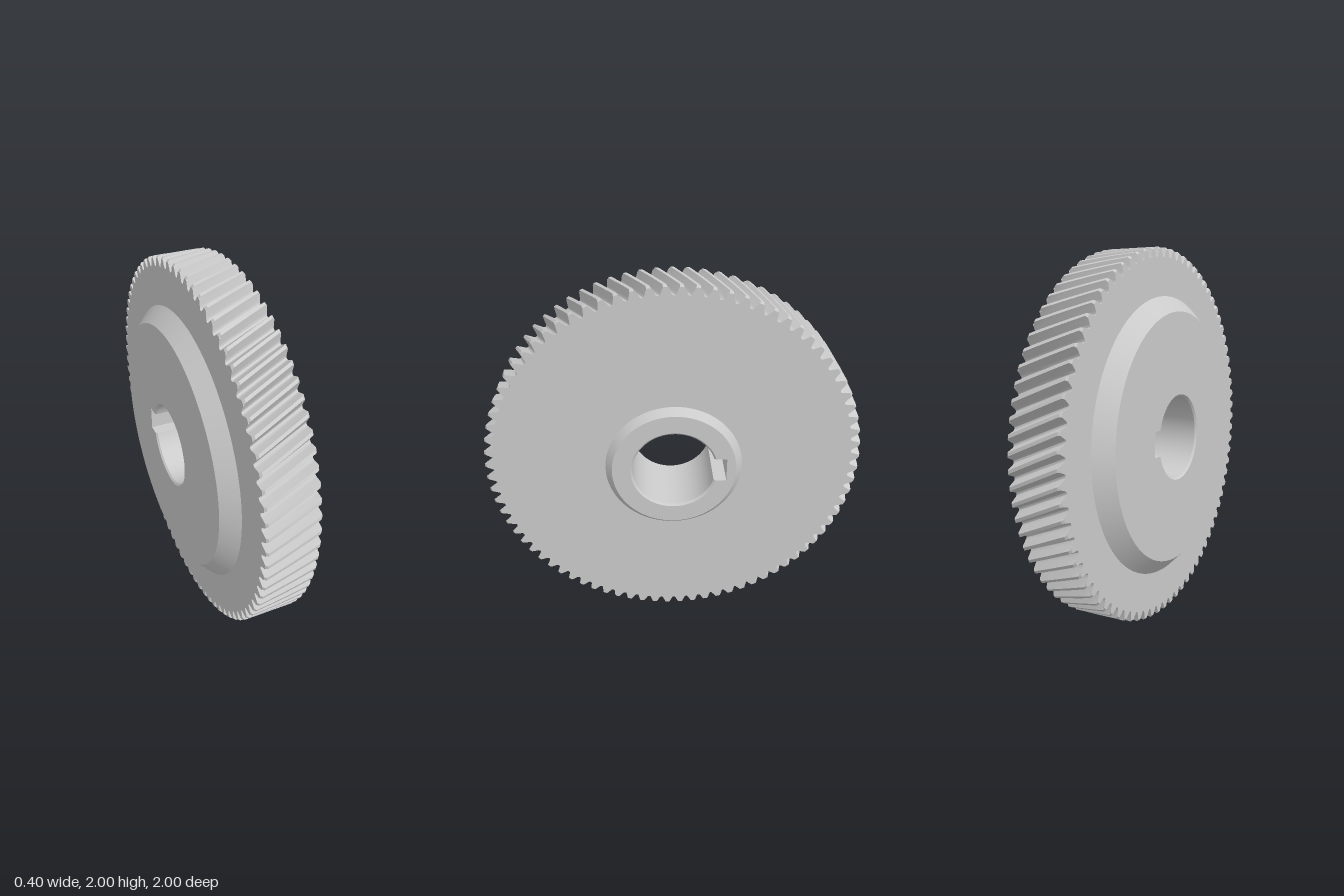
import * as THREE from 'three';
import { toCreasedNormals } from 'three/addons/utils/BufferGeometryUtils.js';

const TEETH = 80, PITCH = (Math.PI * 2) / TEETH;
const BACK = -0.12, FRONT = 0.16;         // toothed rim, along the axle
const HUB_BACK = -0.2, HUB_FRONT = 0.2;   // hub end faces
const TWIST = 0.12;                       // helix turn across the rim
const KEY_HALF = 0.067, KEY_DEPTH = 0.28;

// one gap between teeth: [fraction of pitch from gap centre, radius]
const HALF_GAP = [[0.07, 0.95], [0.13, 0.954], [0.19, 0.964], [0.26, 0.976], [0.33, 0.988], [0.39, 1]];
const GAP = [...HALF_GAP.map(([f, r]) => [-f, r]).reverse(), [0, 0.949], ...HALF_GAP];

const polar = (r, a) => new THREE.Vector2(r * Math.cos(a), r * Math.sin(a));
const circle = (r, n = 128) => Array.from({ length: n }, (_, i) => polar(r, (i / n) * Math.PI * 2));

// toothed outline at a place along the axle, tips cut off at maxR
function gearOutline(z, maxR) {
  const turn = Math.PI / 2 + TWIST * (FRONT - z) / (FRONT - BACK);
  const points = [];
  for (let t = 0; t < TEETH; t++) {
    for (const [f, r] of GAP) points.push(polar(Math.min(r, maxR), turn + (t + f) * PITCH));
  }
  return points;
}

// round bore with a square keyway
function boreOutline(r, n = 96) {
  const start = Math.asin(KEY_HALF / r), sweep = Math.PI * 2 - start * 2;
  const points = [new THREE.Vector2(KEY_DEPTH, -KEY_HALF), new THREE.Vector2(KEY_DEPTH, KEY_HALF)];
  for (let i = 0; i <= n; i++) points.push(polar(r, start + (sweep * i) / n));
  return points;
}

// skin over closed outlines, each given as [z, points]
function loft(rings, crease = 0.5) {
  const n = rings[0][1].length, position = [], index = [];
  for (const [z, points] of rings) for (const p of points) position.push(p.x, p.y, z);
  for (let k = 0; k < rings.length - 1; k++) {
    for (let i = 0; i < n; i++) {
      const a = k * n + i, b = k * n + ((i + 1) % n);
      index.push(a, b, b + n, a, b + n, a + n);
    }
  }
  const geometry = new THREE.BufferGeometry();
  geometry.setAttribute('position', new THREE.Float32BufferAttribute(position, 3));
  geometry.setIndex(index);
  return toCreasedNormals(geometry, crease);
}

// flat face with a hole, looking along +z or, when flipped, along -z
function face(outline, hole, z, flipped = false) {
  const mirror = (points) => points.map((p) => new THREE.Vector2(flipped ? -p.x : p.x, p.y));
  const shape = new THREE.Shape(mirror(outline));
  shape.holes.push(new THREE.Path(mirror(hole)));
  const geometry = new THREE.ShapeGeometry(shape);
  if (flipped) geometry.rotateY(Math.PI);
  return geometry.translate(0, 0, z);
}

export function createModel() {
  const group = new THREE.Group();
  group.name = 'helicalGear';
  const gear = new THREE.Group();
  gear.name = 'gearBody';
  group.add(gear);
  const material = new THREE.MeshStandardMaterial({ color: 0xcccccc });
  const add = (name, geometry) => {
    const mesh = new THREE.Mesh(geometry, material);
    mesh.name = name;
    gear.add(mesh);
  };

  // helical teeth with lightly chamfered ends
  const chamfer = 0.01, steps = 6;
  const rings = [[BACK, gearOutline(BACK, 1 - chamfer)]];
  for (let i = 0; i <= steps; i++) {
    const z = THREE.MathUtils.lerp(BACK + chamfer, FRONT - chamfer, i / steps);
    rings.push([z, gearOutline(z, 1)]);
  }
  rings.push([FRONT, gearOutline(FRONT, 1 - chamfer)]);
  add('helicalTeeth', loft(rings));

  // side faces of the disc
  add('discFaceOuter', face(gearOutline(FRONT, 1 - chamfer), circle(0.365), FRONT));
  add('discFaceInner', face(gearOutline(BACK, 1 - chamfer), circle(0.75), BACK, true));

  // tapered hubs: small on one side, broad on the other
  add('smallHubTaper', loft([[FRONT, circle(0.365)], [HUB_FRONT, circle(0.33)]]));
  add('smallHubFace', face(circle(0.33), boreOutline(0.232), HUB_FRONT));
  add('broadHubTaper', loft([[HUB_BACK, circle(0.67)], [BACK, circle(0.75)]]));
  add('broadHubFace', face(circle(0.67), boreOutline(0.232), HUB_BACK, true));

  // keyed bore with chamfered mouths
  add('keyedBore', loft([
    [HUB_FRONT, boreOutline(0.232)], [HUB_FRONT - 0.01, boreOutline(0.222)],
    [HUB_BACK + 0.01, boreOutline(0.222)], [HUB_BACK, boreOutline(0.232)],
  ]));

  // axle along x, standing on the ground
  gear.rotation.y = Math.PI / 2;
  gear.position.y = 1;
  return group;
}
